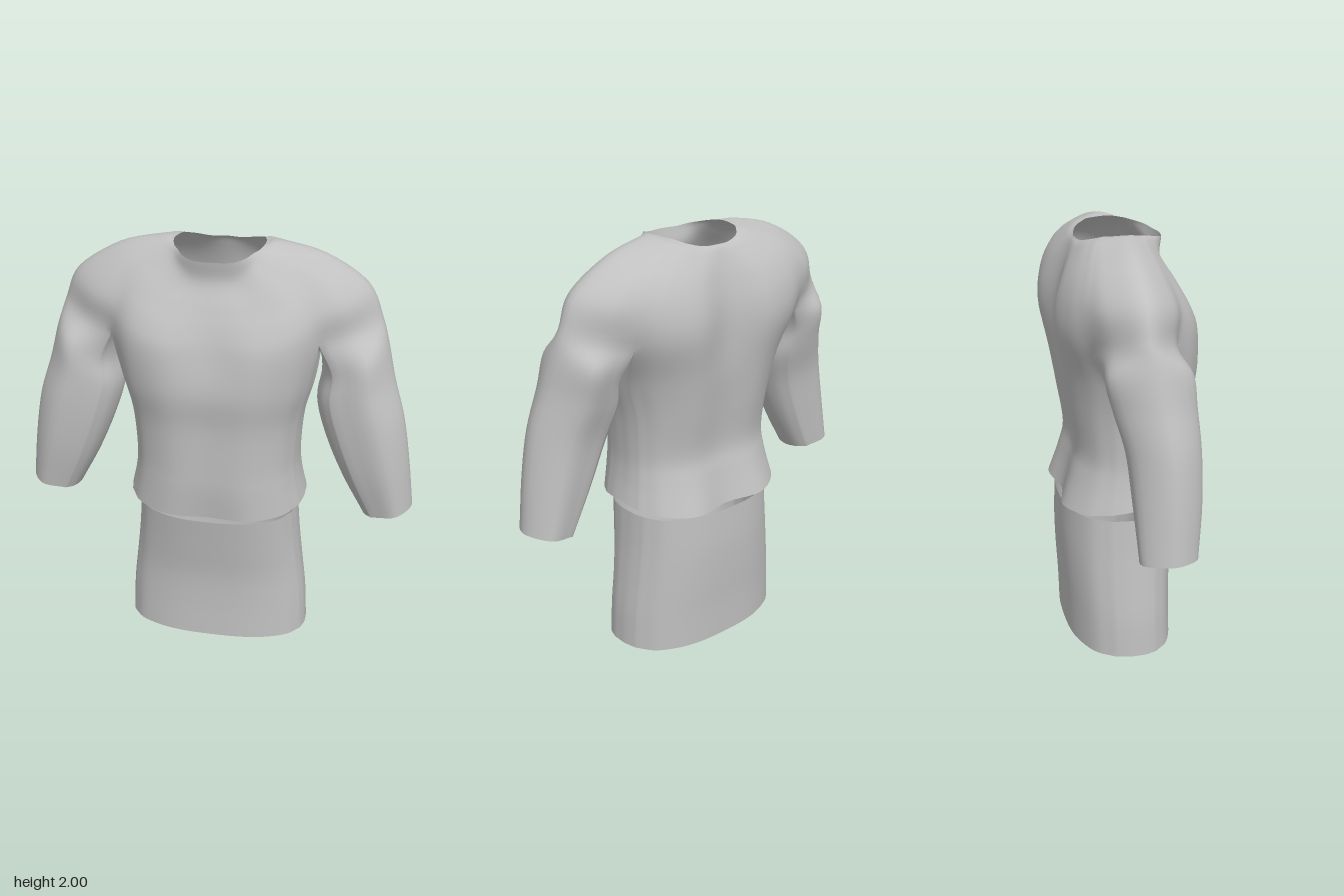
import * as THREE from 'three';
import { mergeVertices } from 'three/addons/utils/BufferGeometryUtils.js';

const N = 5; // subdivisions of every control segment

// Catmull-Rom point between b and c
const cr = (a, b, c, d, t) => b.map((_, i) =>
  b[i] + 0.5 * t * (c[i] - a[i] + t * (2 * a[i] - 5 * b[i] + 4 * c[i] - d[i] + t * (3 * (b[i] - c[i]) + d[i] - a[i]))));
const beyond = (p, q) => p.map((v, i) => 2 * v - q[i]);

// Smooth open curve through points; optional outer neighbours set the end slopes
function spline(p, before, after) {
  const e = [before || beyond(p[0], p[1]), ...p, after || beyond(p[p.length - 1], p[p.length - 2])];
  const out = [];
  for (let s = 1; s < p.length; s++)
    for (let k = 0; k < N; k++) out.push(cr(e[s - 1], e[s], e[s + 1], e[s + 2], k / N));
  out.push(p[p.length - 1]);
  return out;
}

const flip = ([x, y, z]) => [-x, y, z];
const arcs = list => list.flatMap(a => spline(a).slice(0, -1));

// Closed body ring from 11 points running front centre -> left side -> back centre
function bodyRing(h) {
  const front = h.slice(0, 4), side = h.slice(3, 8), back = h.slice(7);
  return arcs([
    [...front.slice(1).reverse().map(flip), ...front],
    side,
    [...back, ...back.slice(0, -1).reverse().map(flip)],
    [...side].reverse().map(flip),
  ]);
}
// Closed sleeve ring from the outer arc and the underarm arc
const sleeveRing = (outer, under) => arcs([outer, [outer[4], ...[...under].reverse(), outer[0]]]);

// Rings -> grid of interpolated rows
function loft(rings, before, after) {
  const cols = rings[0].map((_, i) => spline(rings.map(r => r[i]), before && before[i], after && after[i]));
  return cols[0].map((_, j) => cols.map(c => c[j]));
}

// Grids -> geometries that share welded vertices and smooth normals
function weld(parts) {
  const pos = [], index = [], ranges = [];
  for (const { rows, mirrored } of parts) {
    const base = pos.length / 3, n = rows[0].length, start = index.length;
    rows.forEach(r => r.forEach(p => pos.push(...(mirrored ? flip(p) : p))));
    for (let j = 0; j < rows.length - 1; j++)
      for (let i = 0; i < n; i++) {
        const a = base + j * n + i, b = base + j * n + (i + 1) % n, c = a + n, d = b + n;
        index.push(...(mirrored ? [a, b, c, b, d, c] : [a, c, b, b, c, d]));
      }
    ranges.push([start, index.length]);
  }
  let g = new THREE.BufferGeometry();
  g.setAttribute('position', new THREE.Float32BufferAttribute(pos, 3));
  g.setIndex(index);
  g = mergeVertices(g, 1e-5);
  g.computeVertexNormals();
  const welded = Array.from(g.index.array);
  return ranges.map(([s, e]) => {
    const part = new THREE.BufferGeometry();
    part.setAttribute('position', g.attributes.position);
    part.setAttribute('normal', g.attributes.normal);
    part.setIndex(welded.slice(s, e));
    return part;
  });
}

// Rounded-off point between two key points
const round = (p, q) => [0.6, 0.45, 0.33].map((t, i) => p[i] + t * (q[i] - p[i]));

// Yoke ring from chest, armpit front, shoulder, armpit back, shoulder blade and the centre depths
const yokeRing = (chest, front, shoulder, rear, blade, zChest, zSpine) => [
  [0, chest[1], zChest], chest, round(chest, front), front, round(front, shoulder), shoulder,
  round(rear, shoulder), rear, round(blade, rear), blade, [0, blade[1], zSpine],
];

// Superellipse cross-section: half width, front and back depth, spine groove, hem droop
function section(y, w, zf, zb, groove = 0, droop = 0) {
  return [0, 0.45, 0.8, 0.96, 0.995, 1, 0.995, 0.96, 0.8, 0.45, 0].map((x, i) => {
    const f = (1 - x ** 2.5) ** 0.4, back = i > 5;
    const z = back ? -f * zb + (i === 10 ? groove : 0) : f * zf - (i === 0 ? groove / 2 : 0);
    return [x * w, y - droop * f * (back ? 1.4 : 1), z];
  });
}

export function createModel() {
  const cloth = new THREE.MeshStandardMaterial({ color: 0xc0c0c0, side: THREE.DoubleSide });
  cloth.name = 'grey cloth';
  const model = new THREE.Group();
  model.name = 'outfit';
  const add = (name, geometry) => {
    const m = new THREE.Mesh(geometry, cloth);
    m.name = name;
    model.add(m);
  };

  // Yoke: neck edge, collar base, shoulder slope, shoulder edge, armpit level
  const yoke = [
    yokeRing([.08, 1.95, .18], [.17, 1.975, .1], [.205, 1.99, 0], [.185, 1.985, -.11], [.07, 1.95, -.19], .19, -.2),
    yokeRing([.1, 1.855, .17], [.22, 1.94, .1], [.27, 1.995, -.02], [.235, 1.965, -.16], [.1, 1.92, -.22], .18, -.22),
    yokeRing([.16, 1.755, .225], [.38, 1.86, .12], [.47, 1.945, -.04], [.4, 1.87, -.22], [.17, 1.82, -.285], .225, -.255),
    yokeRing([.19, 1.66, .28], [.44, 1.72, .17], [.665, 1.82, -.04], [.47, 1.74, -.25], [.19, 1.7, -.325], .265, -.28),
    yokeRing([.2, 1.56, .315], [.47, 1.59, .15], [.735, 1.67, -.04], [.48, 1.58, -.22], [.2, 1.57, -.33], .295, -.285),
  ];
  const armpit = yoke[4];
  const under = [[.465, 1.53, .06], [.463, 1.5, -.04], [.47, 1.53, -.15]];

  // Body of the shirt down to the hem
  const body = [
    [...armpit.slice(0, 4), ...under, ...armpit.slice(7)],
    section(1.38, .45, .345, .31, .035),
    section(1.2, .405, .325, .28, .03),
    section(1.0, .39, .32, .25, .025),
    section(.88, .4, .32, .275, .03),
    section(.77, .425, .315, .33, .05, .035),
  ];

  // Sleeve rings: outer x, y, inner x, y, front z, back z
  const angles = [125, 65, 0, -65, -125, 150, 180, -150].map(THREE.MathUtils.degToRad);
  const sleeve = [
    [.77, 1.56, .475, 1.41, .175, -.215],
    [.81, 1.4, .46, 1.28, .19, -.18],
    [.865, 1.22, .505, 1.12, .195, -.135],
    [.905, 1.0, .59, .92, .185, -.12],
    [.937, .76, .7, .715, .155, -.11],
  ].map(([xo, yo, xi, yi, zf, zb]) => angles.map(a => {
    const c = Math.cos(a) / 2;
    return [(xo + xi) / 2 + c * (xo - xi), (yo + yi) / 2 + c * (yo - yi), (zf + zb) / 2 + Math.sin(a) * (zf - zb) / 2];
  }));
  const outer = sleeve.map(r => r.slice(0, 5)), inner = sleeve.map(r => r.slice(5));

  // Neighbour rings keep the three lofts smooth where they join
  const yokeRows = loft(yoke.map(bodyRing), null,
    bodyRing([...body[1].slice(0, 4), ...outer[0].slice(1, 4), ...body[1].slice(7)]));
  const bodyRows = loft(body.map(bodyRing),
    bodyRing([...yoke[3].slice(0, 4), ...inner[0], ...yoke[3].slice(7)]));
  const sleeveRows = loft(
    [sleeveRing(armpit.slice(3, 8), under), ...outer.map((o, i) => sleeveRing(o, inner[i]))],
    sleeveRing(yoke[3].slice(3, 8), body[1].slice(4, 7)));

  const [yokeGeo, bodyGeo, leftGeo, rightGeo] = weld([
    { rows: yokeRows }, { rows: bodyRows }, { rows: sleeveRows }, { rows: sleeveRows, mirrored: true },
  ]);
  add('shirtYoke', yokeGeo);
  add('shirtBody', bodyGeo);
  add('leftSleeve', leftGeo);
  add('rightSleeve', rightGeo);

  // Skirt, open at both ends
  const skirt = [
    section(.7, .385, .28, .3), section(.52, .4, .25, .305), section(.35, .42, .225, .3),
    section(.18, .44, .22, .29), section(0, .45, .225, .285),
  ];
  add('skirt', weld([{ rows: loft(skirt.map(bodyRing)) }])[0]);
  return model;
}
